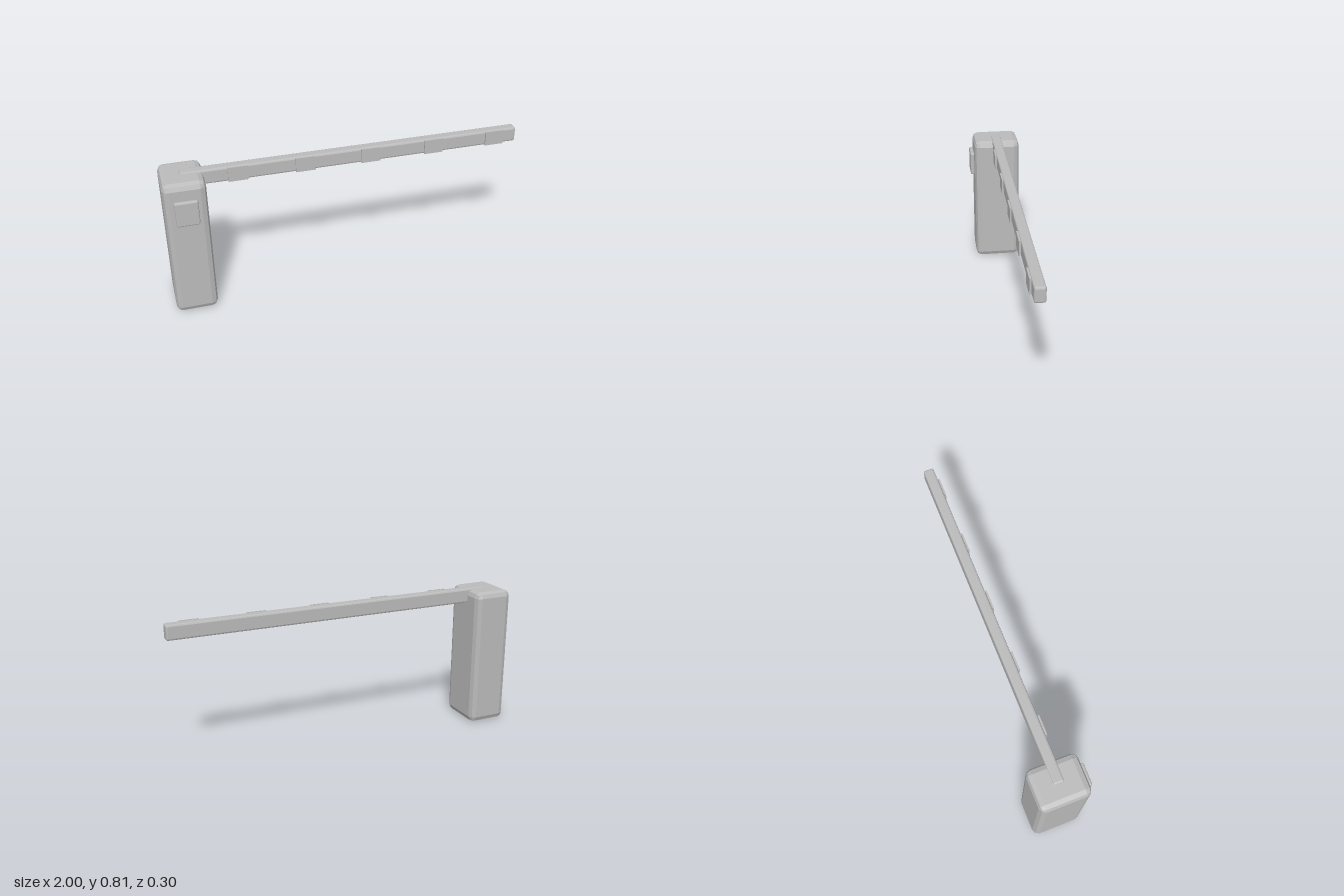
import * as THREE from 'three';
import { RoundedBoxGeometry } from 'three/addons/geometries/RoundedBoxGeometry.js';

const grey = new THREE.MeshStandardMaterial({ color: 0xbbbbbb });
grey.name = 'grey';

// Box between two corners, with faceted rounded edges when a radius is given
function block(name, [x0, y0, z0], [x1, y1, z1], radius = 0) {
  const size = [x1 - x0, y1 - y0, z1 - z0];
  const geometry = radius
    ? new RoundedBoxGeometry(...size, 1, radius)
    : new THREE.BoxGeometry(...size);
  geometry.computeVertexNormals();
  const mesh = new THREE.Mesh(geometry, grey);
  mesh.name = name;
  mesh.position.set((x0 + x1) / 2, (y0 + y1) / 2, (z0 + z1) / 2);
  return mesh;
}

export function createModel() {
  const model = new THREE.Group();
  model.name = 'barrierGate';

  // Upright housing and its front control panel
  model.add(block('cabinet', [-1, 0, -0.152], [-0.772, 0.803, 0.127], 0.033));
  model.add(block('controlPanel', [-0.947, 0.571, 0.127], [-0.824, 0.715, 0.152], 0.008));

  // Horizontal boom set into the top of the housing
  model.add(block('boom', [-0.895, 0.726, -0.043], [1, 0.81, 0.015], 0.01));

  // Evenly spaced plates along the front of the boom
  for (let i = 0; i < 5; i++) {
    const x = -0.647 + i * 0.365;
    model.add(block('boomStripe' + (i + 1), [x, 0.727, 0.015], [x + 0.107, 0.809, 0.0248]));
  }
  return model;
}
